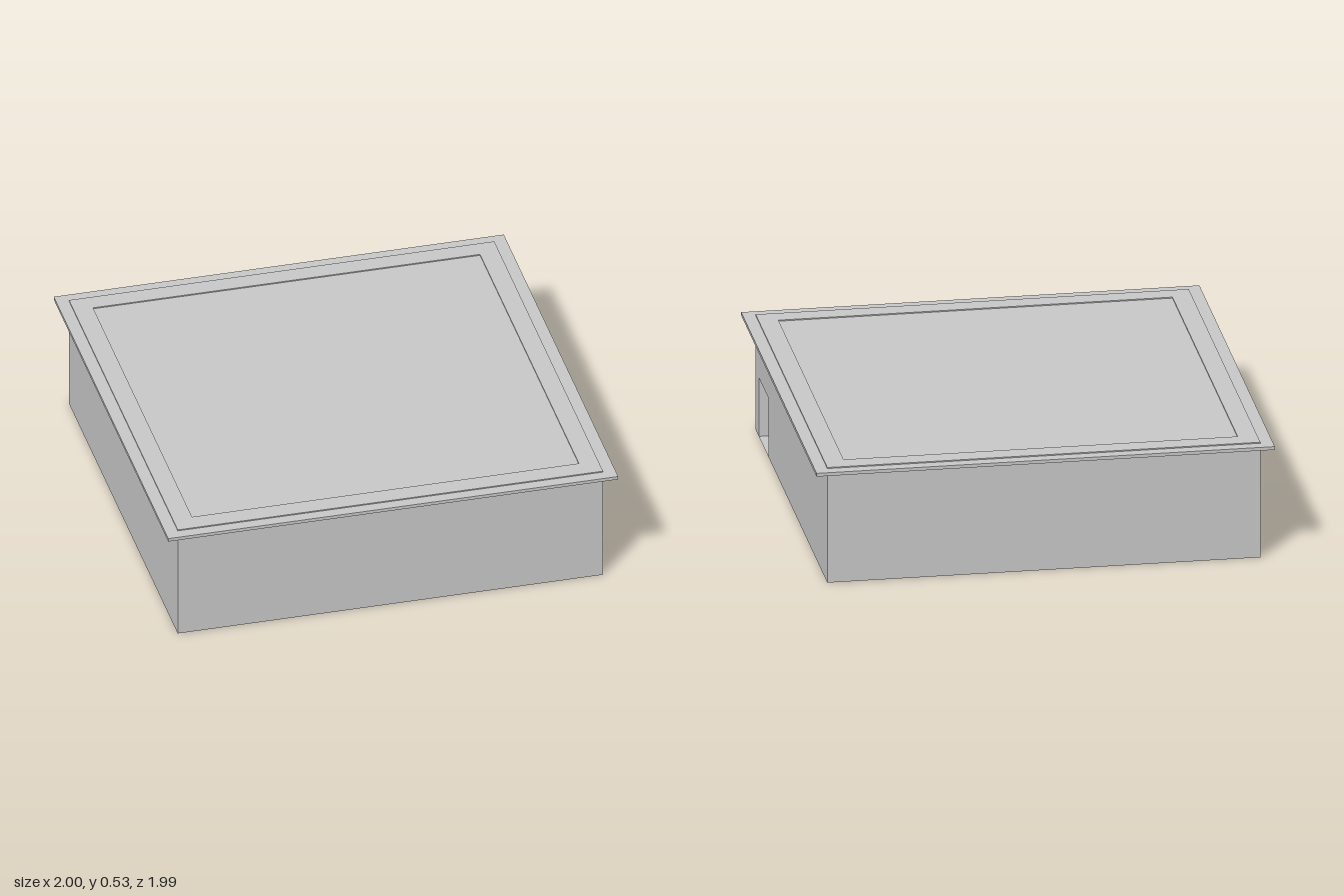
import * as THREE from 'three';

const OUT = 0.945, IN = 0.86;          // outer and inner wall faces
const ROOF_LOW = 0.51, ROOF_TOP = 0.525, TOP = 0.53;
const DOOR = { z0: 0.6, z1: 0.86, h: 0.27 };

export function createModel() {
  const group = new THREE.Group();
  const concrete = new THREE.MeshStandardMaterial({ color: 0xc8c8c8, side: THREE.DoubleSide });
  concrete.name = 'lightGrey';

  const add = (name, geometry) => {
    const mesh = new THREE.Mesh(geometry, concrete);
    mesh.name = name;
    group.add(mesh);
    return mesh;
  };
  const outline = (pts) => new THREE.Shape(pts.map(([x, y]) => new THREE.Vector2(x, y)));
  const square = (r) => outline([[-r, -r], [r, -r], [r, r], [-r, r]]);

  // Outer and inner skins of the hollow walls, open underneath
  for (const [label, r, h] of [['outer', OUT, ROOF_LOW], ['inner', IN, ROOF_LOW]]) {
    ['front', 'left', 'back', 'right'].forEach((side, i) => {
      // On the +x wall, the local horizontal axis runs along -z
      const pts = side === 'left'
        ? [[-r, 0], [-DOOR.z1, 0], [-DOOR.z1, DOOR.h], [-DOOR.z0, DOOR.h], [-DOOR.z0, 0], [r, 0], [r, h], [-r, h]]
        : [[-r, 0], [r, 0], [r, h], [-r, h]];
      // The doorway is flush with the inner front wall
      if (side === 'left' && label === 'inner') pts.splice(0, 2);
      if (side === 'left' && label === 'inner') pts.unshift([-r, DOOR.h]), pts.splice(1, 1);
      const geo = new THREE.ShapeGeometry(outline(pts));
      geo.translate(0, 0, r);
      geo.rotateY(i * Math.PI / 2);
      add(`${side}${label === 'outer' ? 'OuterWall' : 'InnerWall'}`, geo);
    });
  }

  // Doorway lining through the wall thickness
  const depth = OUT - IN, midX = (OUT + IN) / 2;
  for (const [name, z, turn] of [['frontDoorJamb', DOOR.z1, Math.PI], ['backDoorJamb', DOOR.z0, 0]]) {
    const jamb = new THREE.PlaneGeometry(depth, DOOR.h);
    jamb.rotateY(turn);
    jamb.translate(midX, DOOR.h / 2, z);
    add(name, jamb);
  }
  const lintel = new THREE.PlaneGeometry(depth, DOOR.z1 - DOOR.z0);
  lintel.rotateX(Math.PI / 2);
  lintel.translate(midX, DOOR.h, (DOOR.z0 + DOOR.z1) / 2);
  add('doorLintel', lintel);

  // Floor with the threshold running out through the doorway
  const floor = new THREE.ShapeGeometry(outline([
    [-IN, -IN], [IN, -IN], [OUT, -DOOR.z1], [OUT, -DOOR.z0], [IN, -DOOR.z0], [IN, IN], [-IN, IN],
  ]));
  floor.rotateX(-Math.PI / 2);
  add('floor', floor);

  // Overhanging roof slab
  const roof = new THREE.BoxGeometry(2, ROOF_TOP - ROOF_LOW, 1.99);
  roof.translate(0, (ROOF_TOP + ROOF_LOW) / 2, 0);
  add('roofSlab', roof);

  // Low rim where the wall tops stand above the slab
  const rimShape = square(OUT);
  rimShape.holes.push(square(IN));
  const rim = new THREE.ExtrudeGeometry(rimShape, { depth: TOP - ROOF_TOP, bevelEnabled: false });
  rim.rotateX(-Math.PI / 2);
  rim.translate(0, ROOF_TOP, 0);
  add('roofRim', rim);

  return group;
}
